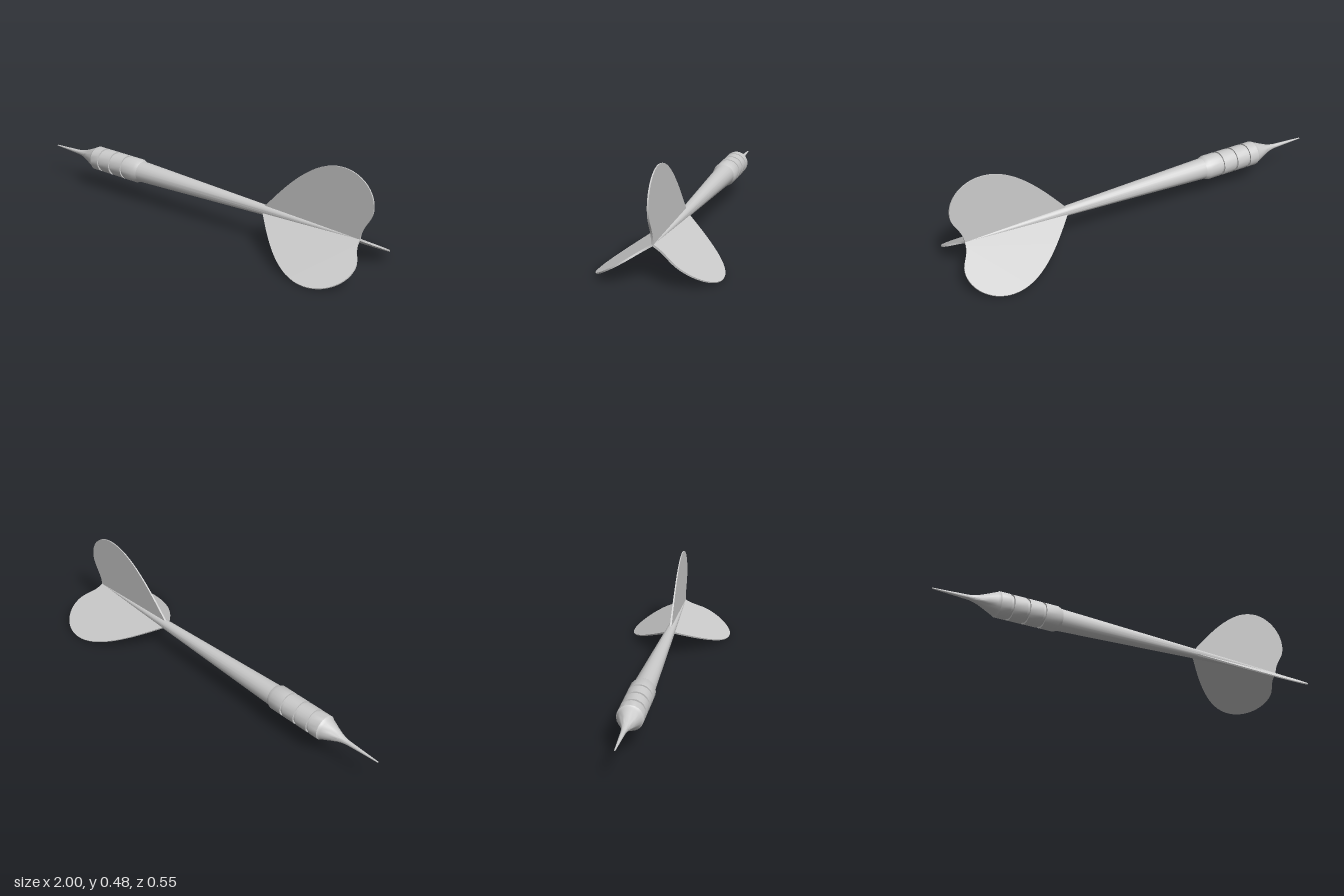
import * as THREE from 'three';
import { toCreasedNormals } from 'three/addons/utils/BufferGeometryUtils.js';

const AXIS_Y = 0.163;
const SIDES = 20;

export function createModel() {
  const dart = new THREE.Group();
  dart.name = 'dart';
  const grey = new THREE.MeshStandardMaterial({ color: 0xcccccc });

  // Everything is built around the x axis, then lifted to its height
  const add = (name, geometry) => {
    const mesh = new THREE.Mesh(toCreasedNormals(geometry, 0.6), grey);
    mesh.name = name;
    mesh.position.y = AXIS_Y;
    dart.add(mesh);
    return mesh;
  };

  // Turned part from [x, radius] pairs running from nose to tail
  const turned = (name, profile) => {
    const points = profile.map(([x, r]) => new THREE.Vector2(r, x));
    return add(name, new THREE.LatheGeometry(points, SIDES).rotateZ(-Math.PI / 2));
  };

  // Steel point
  turned('point', [[-1, 0], [-1, 0.003], [-0.9, 0.008], [-0.825, 0.012]]);

  // Barrel: flared nose, then a grip cut by three narrow grooves
  const grip = 0.0625, groove = 0.055, half = 0.007;
  const barrel = [
    [-0.825, 0.012], [-0.8, 0.016], [-0.775, 0.023], [-0.74, 0.037],
    [-0.7, 0.054], [-0.69, 0.0575], [-0.685, grip],
  ];
  for (const x of [-0.627, -0.546, -0.463]) {
    barrel.push([x - half, grip], [x - half, groove], [x + half, groove], [x + half, grip]);
  }
  barrel.push([-0.385, grip], [-0.365, 0.054]);
  turned('barrel', barrel);

  // Tapering shaft
  turned('shaft', [[-0.365, 0.054], [0.42, 0.025], [0.94, 0.005], [0.94, 0]]);

  // Flight outline: half a heart, with its root along the shaft axis
  const outline = new THREE.Shape();
  outline.moveTo(0.42, 0);
  outline.lineTo(0.42, 0.022);
  outline.bezierCurveTo(0.54, 0.16, 0.68, 0.317, 0.83, 0.317);
  outline.bezierCurveTo(0.93, 0.317, 1, 0.245, 1, 0.165);
  outline.bezierCurveTo(1, 0.095, 0.945, 0.075, 0.94, 0);
  outline.closePath();

  // Three flights, thinning from root to rim
  for (let i = 0; i < 3; i++) {
    const flight = new THREE.ExtrudeGeometry(outline, {
      depth: 1, bevelEnabled: false, curveSegments: 16,
    });
    const p = flight.attributes.position;
    for (let v = 0; v < p.count; v++) {
      const thickness = 0.01 - 0.015 * p.getY(v);
      p.setZ(v, (p.getZ(v) - 0.5) * thickness);
    }
    flight.rotateX((i * Math.PI * 2) / 3);
    add(['topFlight', 'frontFlight', 'backFlight'][i], flight);
  }
  return dart;
}
